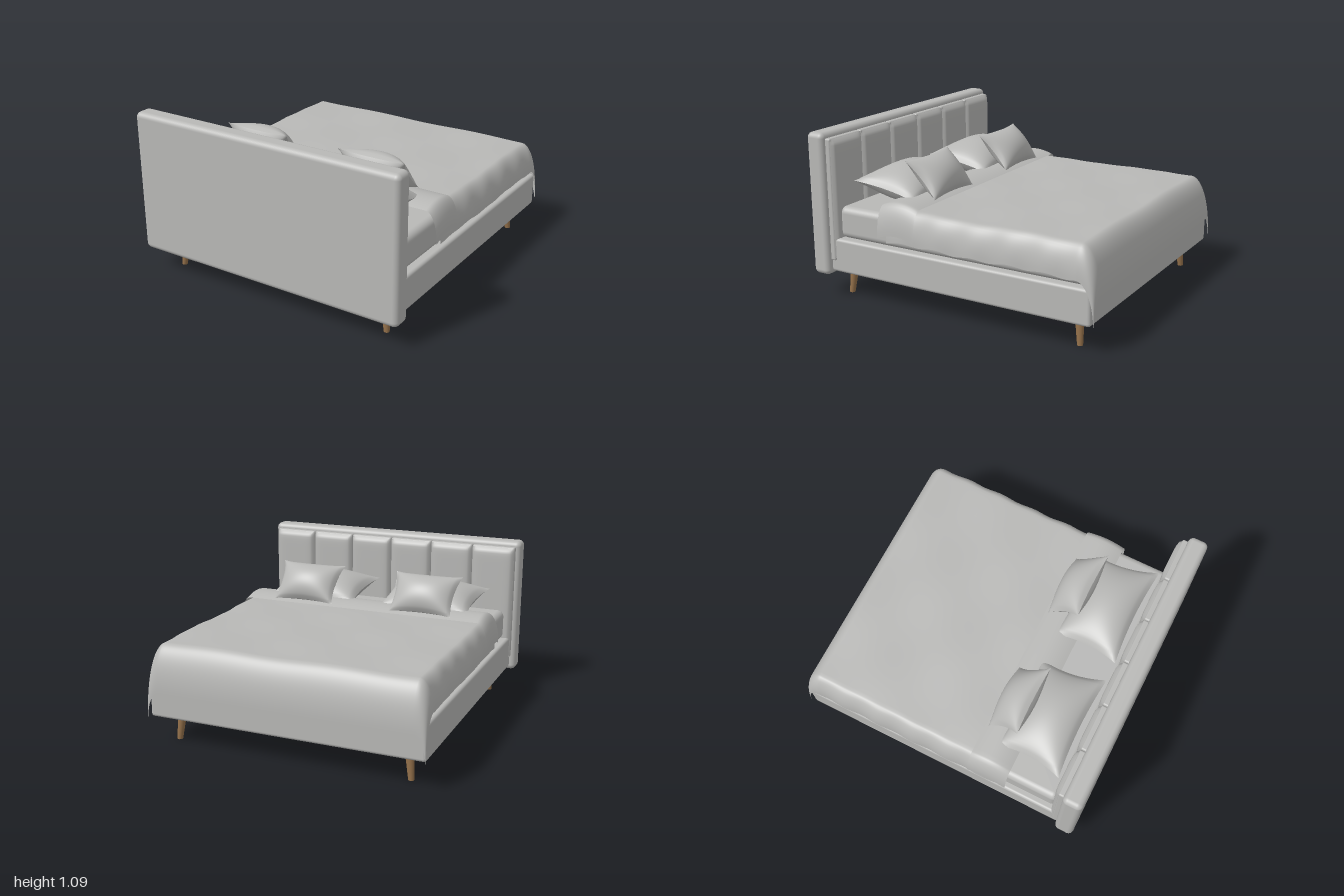
import * as THREE from 'three';
import { RoundedBoxGeometry } from 'three/addons/geometries/RoundedBoxGeometry.js';

const fabric = new THREE.MeshStandardMaterial({ color: 0xb8b8b6 });
fabric.name = 'grey fabric';
fabric.side = THREE.DoubleSide;
const wood = new THREE.MeshStandardMaterial({ color: 0x93704a });
wood.name = 'wood';

// Smooth surface from a rule (u, v in -1..1) -> [x, y, z]
function sheet(nu, nv, rule) {
  const g = new THREE.PlaneGeometry(2, 2, nu, nv);
  const p = g.attributes.position;
  for (let i = 0; i < p.count; i++) p.setXYZ(i, ...rule(p.getX(i), p.getY(i)));
  g.computeVertexNormals();
  return g;
}

function add(parent, name, geometry, material, x = 0, y = 0, z = 0) {
  const m = new THREE.Mesh(geometry, material);
  m.name = name;
  m.position.set(x, y, z);
  parent.add(m);
  return m;
}

function slab(parent, name, w, y0, y1, z0, z1, r) {
  return add(parent, name, new RoundedBoxGeometry(w, y1 - y0, z1 - z0, 5, r), fabric,
    0, (y0 + y1) / 2, (z0 + z1) / 2);
}

// Cloth falling over an edge: t 0..1 gives [outward, down] along a quarter ellipse
function drape(t, out, down) {
  const a = Math.max(0, t) * Math.PI / 2;
  return [out * Math.sin(a), down * (1 - Math.cos(a))];
}

// Two puffed faces meeting at a seam, with pinched sides
function pillow(name, a, b, t, taper) {
  const group = new THREE.Group();
  group.name = name;
  for (const side of [1, -1]) {
    const g = sheet(32, 28, (u, v) => {
      const puff = Math.pow(Math.max(0, (1 - u * u) * (1 - v * v)), 0.6);
      return [
        side * a * u * (1 - 0.1 * (1 - v * v)) * (1 - taper * v),
        side * t * puff,
        -b * v * (1 - 0.1 * (1 - u * u)),
      ];
    });
    add(group, side > 0 ? 'pillowTop' : 'pillowUnderside', g, fabric);
  }
  return group;
}

export function createModel() {
  const bed = new THREE.Group();
  bed.name = 'bed';

  // Headboard, base and mattress
  slab(bed, 'headboard', 1.9, 0.15, 1.085, 0.872, 1, 0.035);
  slab(bed, 'bedBase', 1.82, 0.175, 0.4, -0.975, 0.88, 0.02);
  slab(bed, 'mattress', 1.74, 0.395, 0.605, -0.95, 0.835, 0.045);

  // Six upholstered panels: a backing with a puffed face
  const panelW = 0.306;
  const puff = sheet(24, 40, (u, v) => [
    -u * (panelW / 2 - 0.004), v * 0.395,
    -0.028 * Math.sqrt(Math.max(0, (1 - Math.pow(u, 6)) * (1 - Math.pow(v, 20)))),
  ]);
  const backing = new RoundedBoxGeometry(panelW - 0.002, 0.8, 0.045, 3, 0.012);
  for (let i = 0; i < 6; i++) {
    const x = (i - 2.5) * panelW;
    add(bed, 'panelBacking', backing, fabric, x, 0.65, 0.86);
    add(bed, 'panelPuff', puff, fabric, x, 0.65, 0.839);
  }

  // Blanket draped over both sides and the foot
  add(bed, 'blanket', sheet(90, 110, (u, v) => {
    const s = Math.sign(u), w = (v + 1) / 2;
    const su = (Math.abs(u) - 0.75) / 0.25;
    const sv = (w - 0.75) / 0.25;
    const flatX = 0.83 * Math.min(1, Math.abs(u) / 0.75);
    const flatZ = 0.43 - 1.31 * Math.min(1, w / 0.75);
    const [ox, dx] = drape(su, 0.085, 0.2);
    const [oz, dz] = drape(sv, 0.12, 0.3);
    const fade = Math.max(0, 1 - Math.max(0, sv) * 1.5);
    const side = Math.max(0, su) * fade;
    const ripple = 0.004 * Math.sin(flatX * s * 8 + 1) * Math.sin(flatZ * 9) * fade;
    const wave = Math.sin(flatZ * 25);
    return [
      s * (flatX + ox + 0.005 * side * wave),
      0.648 - dx - dz + ripple + 0.008 * side * wave,
      flatZ - oz,
    ];
  }), fabric);

  // Turned-down band across the head end of the blanket
  add(bed, 'foldedBand', sheet(80, 16, (u, v) => {
    const s = Math.sign(u), su = (Math.abs(u) - 0.75) / 0.25;
    const [ox, dx] = drape(su, 0.08, 0.2);
    return [
      s * (0.838 * Math.min(1, Math.abs(u) / 0.75) + ox),
      0.664 - dx + 0.028 * (1 - v * v),
      0.358 - 0.135 * v,
    ];
  }), fabric);

  // Sleeping pillows and cushions, and legs, mirrored left and right
  for (const s of [1, -1]) {
    const label = s > 0 ? 'left' : 'right';
    const large = pillow(label + 'Pillow', 0.335, 0.225, 0.125, 0.05);
    large.position.set(s * 0.415, 0.715, 0.565);
    large.rotation.x = -0.19;
    const small = pillow(label + 'Cushion', 0.228, 0.155, 0.1, 0.04);
    small.position.set(s * 0.43, 0.79, 0.345);
    small.rotation.x = -0.83;
    bed.add(large, small);

    for (const e of [1, -1]) {
      // Tapered leg leaning outwards to its foot
      const g = new THREE.CylinderGeometry(0.03, 0.018, 0.19, 20);
      const p = g.attributes.position;
      for (let i = 0; i < p.count; i++) {
        const d = 0.095 - p.getY(i);
        p.setX(i, p.getX(i) + s * d * 0.1);
        p.setZ(i, p.getZ(i) + e * d * 0.08);
      }
      g.computeVertexNormals();
      add(bed, label + (e > 0 ? 'HeadLeg' : 'FootLeg'), g, wood,
        s * 0.763, 0.095, e > 0 ? 0.808 : -0.838);
    }
  }
  return bed;
}
